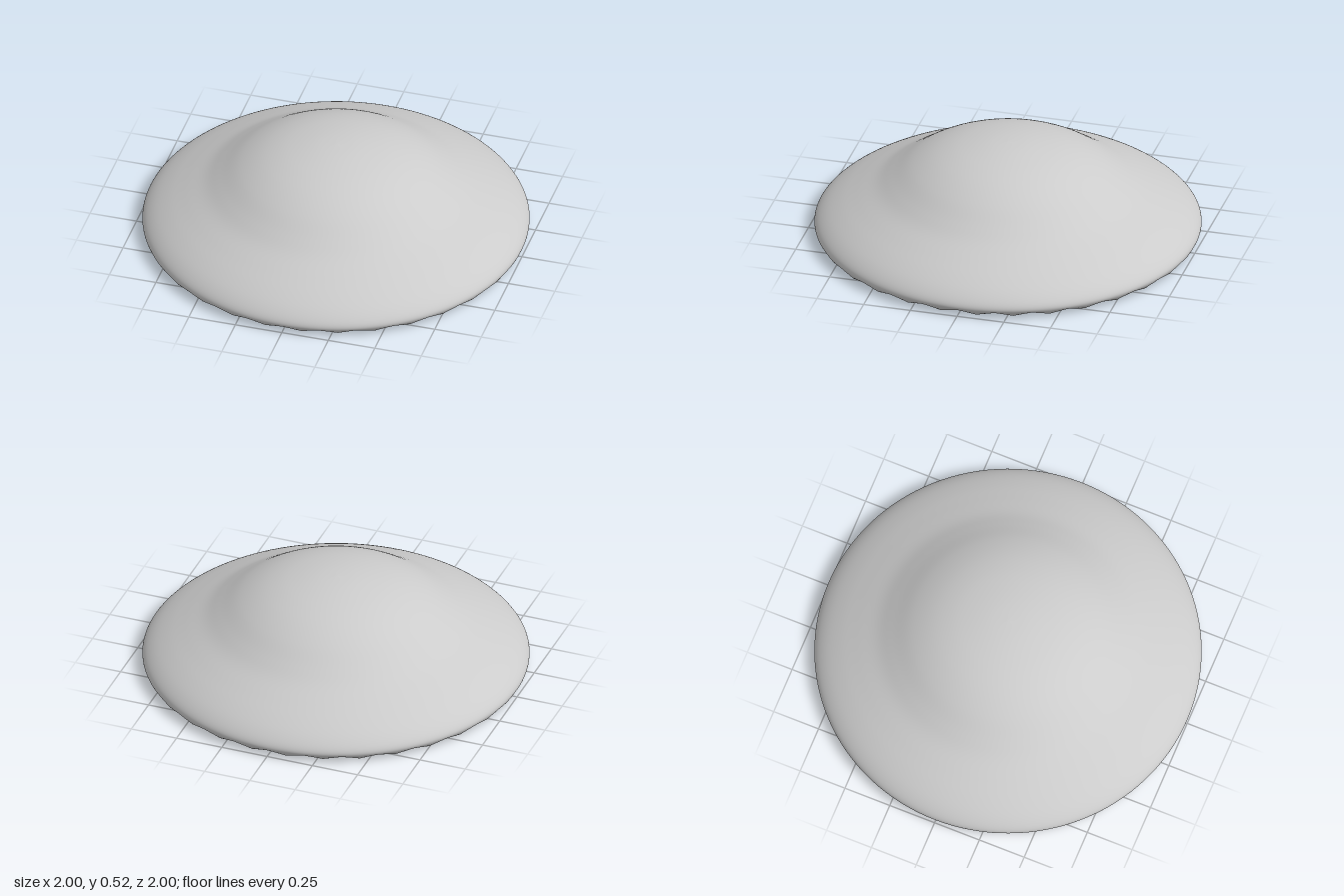
import * as THREE from 'three';
import { mergeVertices } from 'three/addons/utils/BufferGeometryUtils.js';

const GILLS = 32;          // number of ridges under the cap
const SEGMENTS = GILLS * 4;
const STEPS = 6;           // rings between two profile points

// Underside profile, from the centre out to the widest edge
const under = [
  [0, 0.13], [0.08, 0.142], [0.2, 0.16], [0.35, 0.165], [0.5, 0.15], [0.65, 0.115],
  [0.8, 0.068], [0.9, 0.028], [0.95, 0.011], [0.985, 0.024], [1, 0.05],
];
// Top profile, from the widest edge up to the crown
const top = [
  [0.985, 0.083], [0.94, 0.124], [0.87, 0.168], [0.78, 0.215], [0.68, 0.266], [0.6, 0.318],
  [0.5, 0.386], [0.4, 0.438], [0.3, 0.474], [0.2, 0.497], [0.1, 0.511], [0, 0.516],
];

export function createModel() {
  const control = [...under, ...top].map(([r, y]) => new THREE.Vector2(r, y));
  const rings = (control.length - 1) * STEPS;
  const rim = (under.length - 1) * STEPS;
  const profile = new THREE.SplineCurve(control).getPoints(rings);
  profile.forEach((p) => { p.x = THREE.MathUtils.clamp(p.x, 0, 1); });
  profile[0].x = profile[rings].x = 0;

  // Wave the underside into radial gills that fade out at the edge
  const lathe = new THREE.LatheGeometry(profile, SEGMENTS);
  const pos = lathe.attributes.position;
  for (let i = 0; i <= SEGMENTS; i++) {
    const wave = Math.cos((i / SEGMENTS) * Math.PI * 2 * GILLS);
    for (let j = 0; j < rim; j++) {
      const depth = Math.min(0.035 * profile[j].x, 0.019 - 0.009 * profile[j].x);
      const fade = 1 - THREE.MathUtils.smoothstep(j, rim - 2 * STEPS, rim);
      const k = i * (rings + 1) + j;
      pos.setY(k, pos.getY(k) + depth * fade * wave);
    }
  }

  // Smooth normals across the seam and the edge
  lathe.deleteAttribute('uv');
  lathe.deleteAttribute('normal');
  const skin = mergeVertices(lathe, 1e-5);
  skin.computeVertexNormals();

  // Separate the smooth cap from the gills, keeping the shared normals
  const material = new THREE.MeshStandardMaterial({ color: 0xcccccc });
  const index = Array.from(skin.index.array);
  const group = new THREE.Group();
  group.name = 'mushroomCap';
  const addPart = (name, isBelow) => {
    const part = skin.clone();
    part.setIndex(index.filter((_, n) => (Math.floor(n / 6) % rings < rim) === isBelow));
    const mesh = new THREE.Mesh(part.toNonIndexed(), material);
    mesh.name = name;
    group.add(mesh);
  };
  addPart('capTop', false);
  addPart('gills', true);
  return group;
}
